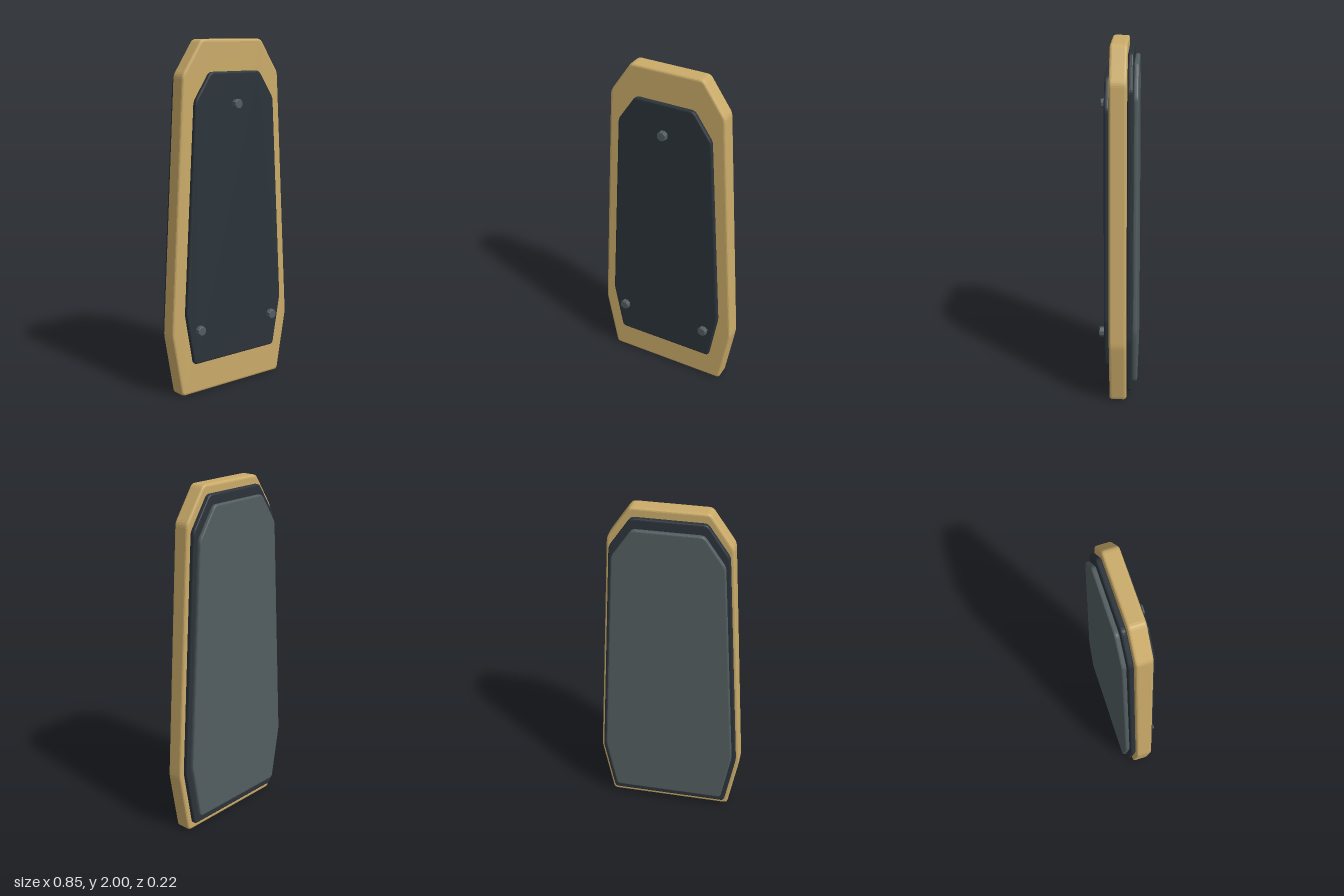
import * as THREE from 'three';

// Right half of the coffin-like outline, bottom to top, measured from the centre
const HALF = [[0.362, -1], [0.427, -0.64], [0.342, 0.81], [0.213, 1]];

// Closed outline with small rounded corners
function outline(scale, r) {
  const right = HALF.map(([x, y]) => new THREE.Vector2(x * scale, y * scale));
  const left = right.map((p) => new THREE.Vector2(-p.x, p.y)).reverse();
  const pts = [...right, ...left];
  const shape = new THREE.Shape();
  pts.forEach((p, i) => {
    const prev = pts[(i + pts.length - 1) % pts.length];
    const next = pts[(i + 1) % pts.length];
    const a = p.clone().add(prev.clone().sub(p).setLength(r));
    const b = p.clone().add(next.clone().sub(p).setLength(r));
    if (i === 0) shape.moveTo(a.x, a.y);
    else shape.lineTo(a.x, a.y);
    shape.quadraticCurveTo(p.x, p.y, b.x, b.y);
  });
  shape.closePath();
  return shape;
}

// Bevelled plate between two depths
function plate(name, material, scale, centreY, z0, z1, bevel) {
  const geometry = new THREE.ExtrudeGeometry(outline(scale, 0.02), {
    depth: z1 - z0 - 2 * bevel,
    bevelThickness: bevel,
    bevelSize: bevel,
    bevelOffset: -bevel,
    bevelSegments: 3,
    curveSegments: 3,
  });
  const mesh = new THREE.Mesh(geometry, material);
  mesh.name = name;
  mesh.position.set(0, centreY, z0 + bevel);
  return mesh;
}

export function createModel() {
  const mat = (name, color) => new THREE.MeshStandardMaterial({ name, color });
  const tan = mat('tan', 0xcaab69);
  const charcoal = mat('charcoal', 0x2b333a);
  const slate = mat('slate', 0x525d5f);

  const model = new THREE.Group();
  model.name = 'panel';

  // Stacked plates from back to front
  model.add(
    plate('backCover', slate, 0.9, 1, -0.11, -0.082, 0.01),
    plate('backGasket', charcoal, 0.953, 1, -0.081, -0.05, 0.01),
    plate('body', tan, 1, 1, -0.049, 0.047, 0.014),
    plate('frontPlate', charcoal, 0.82, 1.004, 0.048, 0.077, 0.01),
    // Hidden filler joining the layers
    plate('core', charcoal, 0.8, 1, -0.1, 0.06, 0.005),
  );

  // Chamfered octagonal bolt heads
  const profile = [[0, -0.015], [0.025, -0.015], [0.0285, -0.012], [0.0285, 0.012], [0.025, 0.015], [0, 0.015]]
    .map(([x, y]) => new THREE.Vector2(x, y));
  const boltGeometry = new THREE.LatheGeometry(profile, 8, Math.PI / 8)
    .toNonIndexed()
    .rotateX(Math.PI / 2);
  boltGeometry.computeVertexNormals();
  const bolts = { topBolt: [0, 1.645], leftBolt: [0.265, 0.383], rightBolt: [-0.265, 0.383] };
  for (const [name, [x, y]] of Object.entries(bolts)) {
    const bolt = new THREE.Mesh(boltGeometry, slate);
    bolt.name = name;
    bolt.position.set(x, y, 0.092);
    model.add(bolt);
  }

  return model;
}
